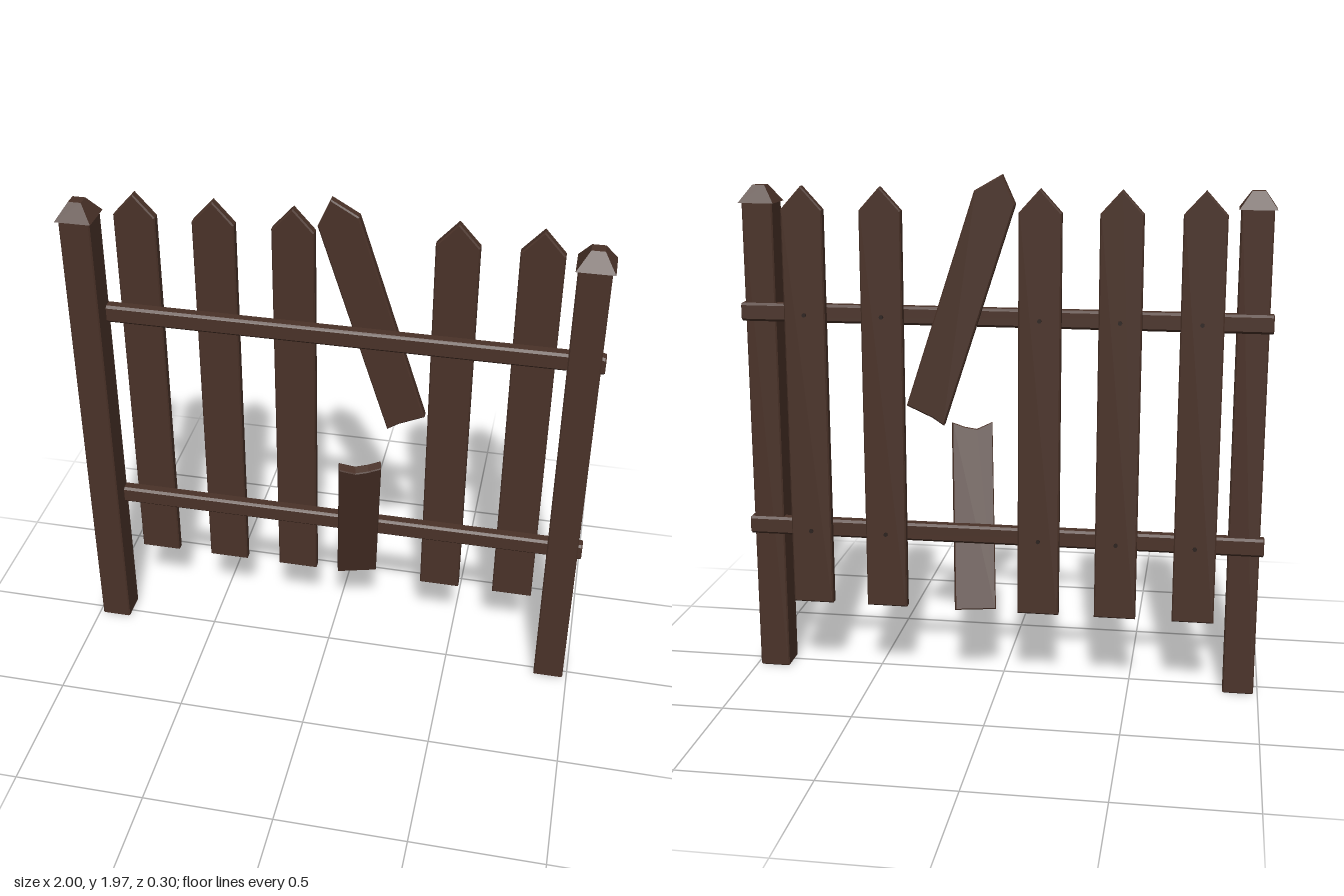
import * as THREE from 'three';

const wood = new THREE.MeshStandardMaterial({ color: 0x4a3228 });
wood.name = 'dark brown wood';
const iron = new THREE.MeshStandardMaterial({ color: 0x2b211d });
iron.name = 'dark nail iron';

// Flat outline extruded along z from 0 to depth, with a small chamfer kept inside the outline
function slab(points, depth, bevel) {
  const shape = new THREE.Shape(points.map(([x, y]) => new THREE.Vector2(x, y)));
  const geo = new THREE.ExtrudeGeometry(shape, {
    depth: depth - 2 * bevel, bevelEnabled: true, bevelSegments: 1,
    bevelSize: bevel, bevelThickness: bevel, bevelOffset: -bevel,
  });
  return geo.translate(0, 0, bevel);
}

// Rectangle with cut corners, centred on the origin
function cutRect(w, h, c) {
  const x = w / 2, y = h / 2;
  return [[-x + c, -y], [x - c, -y], [x, -y + c], [x, y - c],
    [x - c, y], [-x + c, y], [-x, y - c], [-x, -y + c]];
}

export function createModel() {
  const fence = new THREE.Group();
  fence.name = 'brokenFence';

  const add = (name, geo, mat, x, y, z) => {
    const mesh = new THREE.Mesh(geo, mat);
    mesh.name = name;
    mesh.position.set(x, y, z);
    fence.add(mesh);
    return mesh;
  };

  // End posts with truncated pyramid caps
  const postGeo = slab(cutRect(0.118, 0.118, 0.005), 1.862, 0.004).rotateX(-Math.PI / 2);
  const capGeo = new THREE.CylinderGeometry(0.024 * Math.SQRT2, 0.068 * Math.SQRT2, 0.064, 4)
    .rotateY(Math.PI / 4).toNonIndexed();
  capGeo.computeVertexNormals();
  for (const [side, s] of [['left', 1], ['right', -1]]) {
    add(side + 'Post', postGeo, wood, s * 0.925, 0, -0.018);
    add(side + 'PostCap', capGeo, wood, s * 0.927, 1.888, -0.018);
  }

  // Horizontal rails
  const railGeo = slab(cutRect(0.05, 0.07, 0.009), 2, 0.004).rotateY(Math.PI / 2);
  const railHeights = [0.595, 1.445];
  railHeights.forEach((y, i) =>
    add(i ? 'upperRail' : 'lowerRail', railGeo, wood, -1, y, -0.061));

  // Whole pickets, nailed to the back of the rails
  const picketGeo = slab([[-0.079, 0.3], [0.079, 0.3], [0.079, 1.838], [0, 1.925], [-0.079, 1.838]],
    0.038, 0.005);
  const nailGeo = new THREE.CylinderGeometry(0.008, 0.008, 0.01, 8).rotateX(Math.PI / 2);
  for (const x of [-0.743, -0.446, -0.15, 0.444, 0.741]) {
    add('picket', picketGeo, wood, x, 0, -0.125);
    for (const y of railHeights) add('nail', nailGeo, iron, x, y, -0.128);
  }

  // Upper half of the broken picket, swung sideways
  const upperGeo = slab([[0, 0], [0.05, 0.014], [0.158, 0.026], [0.158, 0.874], [0.079, 0.961], [0, 0.874]],
    0.038, 0.005);
  const upper = add('brokenPicketTop', upperGeo, wood, 0.211, 1.036, -0.125);
  upper.rotation.z = THREE.MathUtils.degToRad(18);

  // Lower half, leaning forward through the rails with a splintered end
  const lowerGeo = slab([[0, 0], [0.158, 0], [0.158, 0.73], [0.11, 0.712], [0.062, 0.703], [0, 0.73]],
    0.038, 0.004).translate(0, 0, -0.038);
  const lower = add('brokenPicketBottom', lowerGeo, wood, 0.022, 0.298, -0.085);
  const up = new THREE.Vector3(0.05, 0.69, 0.235).normalize();
  const out = new THREE.Vector3(0.968, 0.015, -0.25).cross(up).normalize();
  const across = up.clone().cross(out);
  lower.quaternion.setFromRotationMatrix(new THREE.Matrix4().makeBasis(across, up, out));

  return fence;
}
